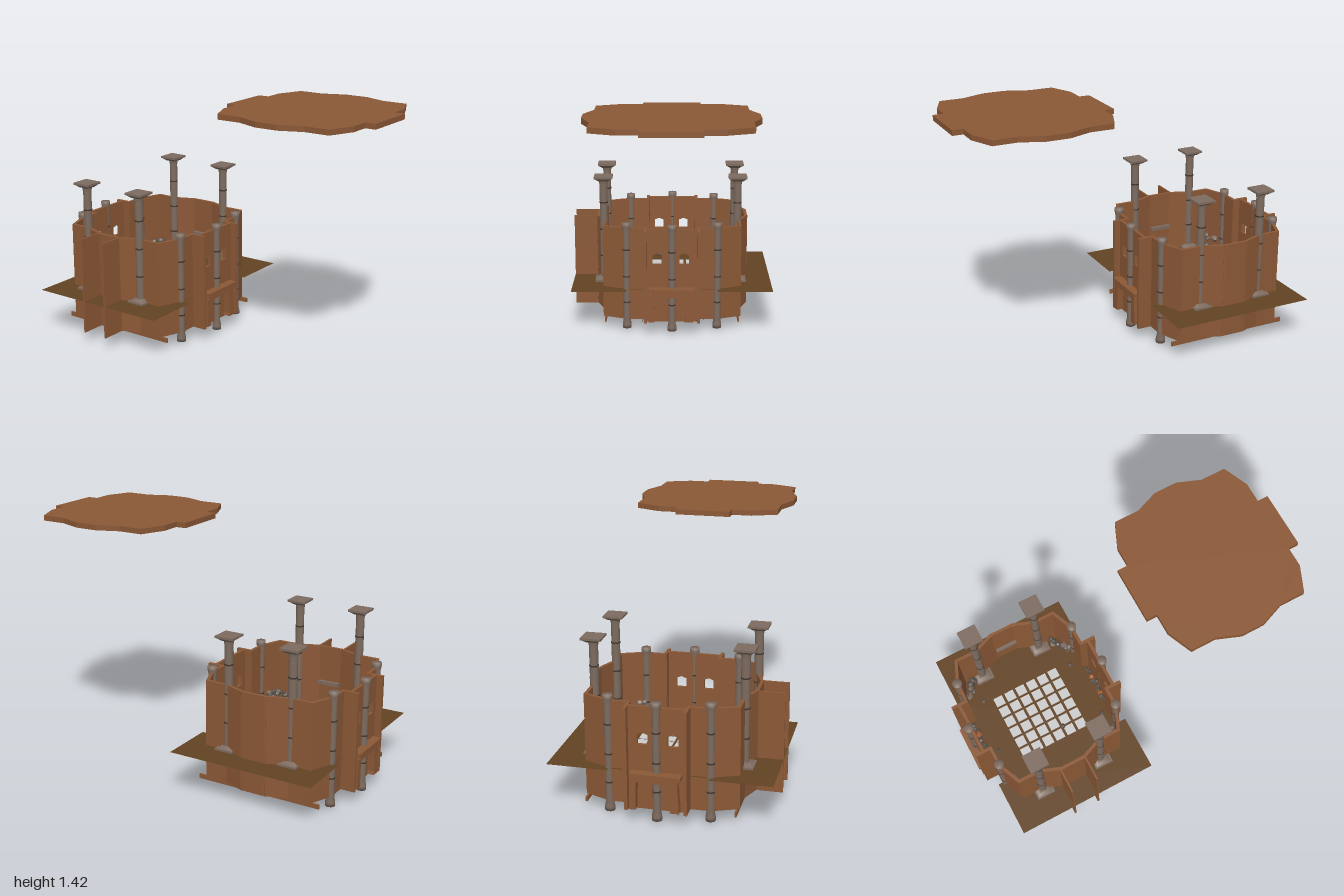
import * as THREE from 'three';

const mat = (name, color, side = THREE.FrontSide) => {
  const m = new THREE.MeshStandardMaterial({ color, side });
  m.name = name;
  return m;
};

export function createModel() {
  const root = new THREE.Group();
  root.name = 'roundHall';
  const clay = mat('clayBrown', 0x8b5836);
  const earth = mat('darkEarth', 0x624222, THREE.DoubleSide);
  const stone = mat('stoneGrey', 0x7d6b5f);
  const band = mat('darkBand', 0x40362f);
  const rubble = mat('rubbleGrey', 0x595149);
  const pale = mat('paleTile', 0xcccccc);
  const ember = mat('emberOrange', 0xa85a30);

  const add = (parent, name, geo, m, x = 0, y = 0, z = 0) => {
    const mesh = new THREE.Mesh(geo, m);
    mesh.name = name;
    mesh.position.set(x, y, z);
    parent.add(mesh);
    return mesh;
  };
  const group = (name, z = 0) => {
    const g = new THREE.Group();
    g.name = name;
    g.position.z = z;
    root.add(g);
    return g;
  };
  const box = (w, h, d) => new THREE.BoxGeometry(w, h, d);
  let seed = 7;
  const rand = () => (seed = (seed * 16807) % 2147483647) / 2147483647;

  // Plan outline: one quarter mirrored round the centre
  const quarter = [[0.157, 0.455], [0.157, 0.395], [0.27, 0.395], [0.41, 0.335], [0.41, 0.195], [0.46, 0.065]];
  const flip = (sx, sz, rev) => {
    const p = quarter.map(([x, z]) => new THREE.Vector2(x * sx, z * sz));
    return rev ? p.reverse() : p;
  };
  const outline = [...flip(1, 1), ...flip(1, -1, true), ...flip(-1, -1), ...flip(-1, 1, true)];
  const slab = (t) => new THREE.ExtrudeGeometry(new THREE.Shape(outline), { depth: t, bevelEnabled: false }).rotateX(-Math.PI / 2);

  // Lifted roof
  add(root, 'roofSlab', slab(0.03), clay, 0, 1.39, 0.545);

  const ZC = -0.525;
  const hall = group('hall', ZC);

  // Wall panel between two plan points, with optional pointed windows
  const Y0 = 0.072, H = 0.566, T = 0.018;
  const panel = (name, a, b, windows = []) => {
    const L = Math.hypot(b[0] - a[0], b[1] - a[1]), e = 0.006;
    const s = new THREE.Shape([[-e, 0], [L + e, 0], [L + e, H], [-e, H]].map(p => new THREE.Vector2(...p)));
    for (const w of windows) {
      const pts = [[-0.028, 0.358], [-0.028, 0.413], [0, 0.424], [0.028, 0.413], [0.028, 0.358]];
      s.holes.push(new THREE.Path(pts.map(([x, y]) => new THREE.Vector2(x + w, y))));
    }
    const g = new THREE.ExtrudeGeometry(s, { depth: T, bevelEnabled: false }).translate(0, 0, -T / 2);
    add(hall, name, g, clay, a[0], Y0, a[1]).rotation.y = Math.atan2(a[1] - b[1], b[0] - a[0]);
  };
  const plan = [[0.157, 0.455], [0.157, 0.37], [0.27, 0.37], [0.405, 0.315], [0.405, 0.19], [0.452, 0.07]];
  for (const sz of [1, -1]) {
    panel('windowWall', [-0.157, 0.416 * sz], [0.157, 0.416 * sz], [0.07, 0.23]);
    for (const sx of [1, -1]) {
      for (let i = 0; i < plan.length - 1; i++) {
        panel('sideWall', [plan[i][0] * sx, plan[i][1] * sz], [plan[i + 1][0] * sx, plan[i + 1][1] * sz]);
      }
    }
  }
  for (const sx of [1, -1]) {
    panel('endWall', [0.452 * sx, 0.07], [0.452 * sx, -0.07]);
    add(hall, 'floorEdge', box(0.01, 0.026, 0.74), clay, 0.4 * sx, 0.061, 0);
    add(hall, 'endSill', box(0.02, 0.02, 0.13), stone, 0.428 * sx, 0.42, 0);
  }
  // Two fins standing out from the right end
  for (const z of [-0.08, 0.075]) add(hall, 'outerFin', box(0.14, H, 0.01), clay, -0.53, Y0 + H / 2, z);

  // Lower floor and ground sheets
  add(hall, 'lowerFloor', slab(0.006).scale(0.97, 1, 0.92), earth, 0, 0.07, 0);
  const sheet = (name, w, d, x, z) => add(hall, name, new THREE.PlaneGeometry(w, d).rotateX(-Math.PI / 2), earth, x, 0.262, z);
  for (const sx of [1, -1]) sheet('groundSheet', 0.33, 0.85, 0.435 * sx, 0.01);
  sheet('mainFloor', 0.54, 0.78, 0, 0);

  // Pale floor tiles
  for (let i = 0; i < 6; i++) {
    for (let j = 0; j < 6; j++) {
      add(hall, 'floorTile', box(0.057, 0.006, 0.057), pale, -0.17 + i * 0.0715, 0.266, -0.182 + j * 0.0735);
    }
  }

  // Slim columns at the front and back
  const slim = new THREE.LatheGeometry(
    [[0, 0.018], [0.027, 0.018], [0.027, 0.04], [0.021, 0.07], [0.021, 0.615], [0.027, 0.645], [0.027, 0.668], [0, 0.668]]
      .map(p => new THREE.Vector2(...p)), 14);
  for (const sz of [1, -1]) {
    for (const [x, z] of [[-0.27, 0.37], [0, 0.427], [0.27, 0.37]]) {
      const c = new THREE.Group();
      c.name = 'slimColumn';
      c.position.set(x, 0, z * sz);
      add(c, 'columnShaft', slim, stone);
      for (const y of [0.18, 0.34, 0.505]) add(c, 'columnBand', new THREE.CylinderGeometry(0.0225, 0.0225, 0.008, 14), band, 0, y, 0);
      hall.add(c);
    }
  }

  // Tall columns with square bases and flared caps
  const flare = (top, bottom, h) => new THREE.CylinderGeometry(top * Math.SQRT2, bottom * Math.SQRT2, h, 4).rotateY(Math.PI / 4);
  for (const x of [-0.412, 0.394]) {
    for (const z of [-0.195, 0.19]) {
      const c = new THREE.Group();
      c.name = 'tallColumn';
      c.position.set(x, 0, z);
      add(c, 'columnShaft', new THREE.CylinderGeometry(0.024, 0.024, 0.62, 14), stone, 0, 0.58, 0);
      add(c, 'columnBase', box(0.11, 0.01, 0.11), stone, 0, 0.268, 0);
      add(c, 'columnFoot', flare(0.028, 0.046, 0.014), stone, 0, 0.28, 0);
      add(c, 'columnNeck', new THREE.CylinderGeometry(0.028, 0.026, 0.02, 14), stone, 0, 0.875, 0);
      add(c, 'columnFlare', flare(0.052, 0.03, 0.018), stone, 0, 0.893, 0);
      add(c, 'columnCap', box(0.11, 0.012, 0.11), stone, 0, 0.907, 0);
      for (const y of [0.42, 0.585, 0.75]) add(c, 'columnBand', new THREE.CylinderGeometry(0.0255, 0.0255, 0.008, 14), band, 0, y, 0);
      hall.add(c);
    }
  }

  // Mantel surrounds with tapered legs
  for (const sz of [1, -1]) {
    const m = new THREE.Group();
    m.name = 'mantel';
    m.rotation.y = sz > 0 ? 0 : Math.PI;
    add(m, 'mantelShelf', box(0.27, 0.02, 0.055), clay, 0, 0.275, 0.4475);
    add(m, 'mantelLedge', box(0.25, 0.016, 0.05), clay, 0, 0.257, 0.445);
    const s = new THREE.Shape([[-0.14, 0.08], [-0.105, 0.08], [-0.1, 0.235], [0.075, 0.235], [0.08, 0.1], [0.075, 0.08],
      [0.125, 0.08], [0.125, 0.1], [0.115, 0.25], [-0.135, 0.25]].map(p => new THREE.Vector2(...p)));
    add(m, 'mantelFrame', new THREE.ExtrudeGeometry(s, { depth: 0.05, bevelEnabled: false }), clay, 0, 0, 0.415);
    hall.add(m);
  }

  // Rubble heaped in the corners and behind the mantels
  const rock = (name, m, x, y, z, r) => {
    const k = add(hall, name, new THREE.DodecahedronGeometry(r), m, x, y, z);
    k.rotation.set(rand() * 3, rand() * 3, rand() * 3);
  };
  for (const sx of [1, -1]) {
    for (const sz of [1, -1]) {
      for (let i = 0; i < 14; i++) {
        const t = rand();
        rock('cornerRock', i % 3 ? rubble : stone, sx * (0.275 + 0.105 * t), 0.27 + rand() * 0.08, sz * (0.345 - 0.08 * t - rand() * 0.015), 0.012 + rand() * 0.01);
      }
      for (let i = 0; i < 6; i++) {
        rock('hearthRock', i === 2 ? ember : rubble, sx * (0.015 + i * 0.02), 0.27 + rand() * 0.03, sz * (0.375 + rand() * 0.015), 0.012 + rand() * 0.006);
      }
    }
  }

  // Small stumps on the floor with roots hanging below
  for (const [x, z, low, lean] of [[-0.09, -0.325, 0, 0], [0.235, -0.265, 0.04, 0.1], [-0.175, 0.33, 0.03, -0.3], [0.19, 0.305, 0.04, 0], [-0.135, 0.085, 0.03, -0.35]]) {
    rock('stump', rubble, x, 0.272, z, 0.015);
    add(hall, 'root', new THREE.CylinderGeometry(0.003, 0.001, 0.08 - low, 5), band, x, low + (0.08 - low) / 2, z).rotation.z = lean;
  }
  return root;
}
